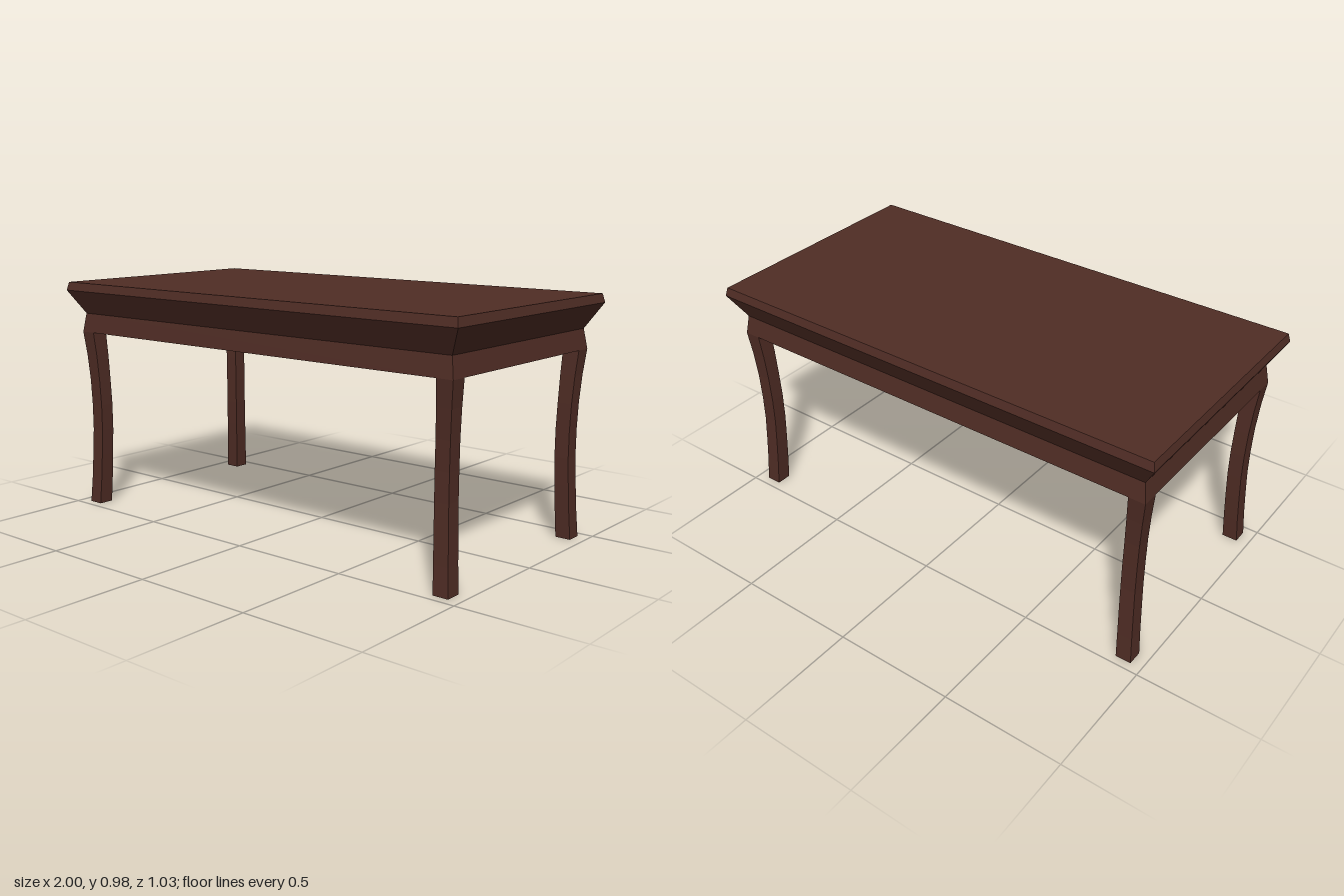
import * as THREE from 'three';

const wood = new THREE.MeshStandardMaterial({
  color: 0x502d25, flatShading: true, side: THREE.DoubleSide,
});

// Skin a stack of rectangles [y, x0, x1, z0, z1], listed from the top down
function loft(name, rings, capTop, capBottom) {
  const pos = [], index = [];
  for (const [y, x0, x1, z0, z1] of rings) {
    pos.push(x1, y, z1, x1, y, z0, x0, y, z0, x0, y, z1);
  }
  for (let r = 0; r < rings.length - 1; r++) {
    for (let k = 0; k < 4; k++) {
      const a = r * 4 + k, b = r * 4 + (k + 1) % 4;
      index.push(a, a + 4, b + 4, a, b + 4, b);
    }
  }
  const e = (rings.length - 1) * 4;
  if (capTop) index.push(0, 1, 2, 0, 2, 3);
  if (capBottom) index.push(e, e + 2, e + 1, e, e + 3, e + 2);
  const indexed = new THREE.BufferGeometry();
  indexed.setAttribute('position', new THREE.Float32BufferAttribute(pos, 3));
  indexed.setIndex(index);
  const geometry = indexed.toNonIndexed();
  geometry.computeVertexNormals();
  const mesh = new THREE.Mesh(geometry, wood);
  mesh.name = name;
  return mesh;
}

// Rectangle centred on the origin, given by its half sizes
const centred = (y, hx, hz) => [y, -hx, hx, -hz, hz];

// Bowed leg: [height, inner z, outer z], from the apron down to the foot
const legProfile = [
  [0.76, 0.400, 0.468], [0.66, 0.395, 0.458], [0.55, 0.391, 0.451], [0.44, 0.388, 0.448],
  [0.33, 0.388, 0.448], [0.22, 0.391, 0.452], [0.11, 0.395, 0.457], [0, 0.400, 0.464],
];
const legOffsetX = 0.488;

function leg(name, sx, sz) {
  const span = (s, a, b) => (s > 0 ? [a, b] : [-b, -a]);
  const rings = legProfile.map(([y, a, b]) =>
    [y, ...span(sx, a + legOffsetX, b + legOffsetX), ...span(sz, a, b)]);
  return loft(name, rings, false, true);
}

export function createModel() {
  const table = new THREE.Group();
  table.name = 'table';

  // Profile corners shared by the thin-walled top, moulding and apron
  const topEdge = centred(0.975, 0.992, 0.505);
  const lip = centred(0.94, 1.0, 0.513);
  const crease = centred(0.84, 0.943, 0.457);
  const rim = centred(0.76, 0.956, 0.468);

  table.add(loft('tableTop', [topEdge, lip], true, false));
  table.add(loft('moulding', [lip, crease], false, false));
  table.add(loft('apron', [crease, rim], false, false));

  for (const sx of [1, -1]) {
    for (const sz of [1, -1]) {
      table.add(leg(`${sz > 0 ? 'front' : 'back'}${sx > 0 ? 'Left' : 'Right'}Leg`, sx, sz));
    }
  }
  return table;
}
